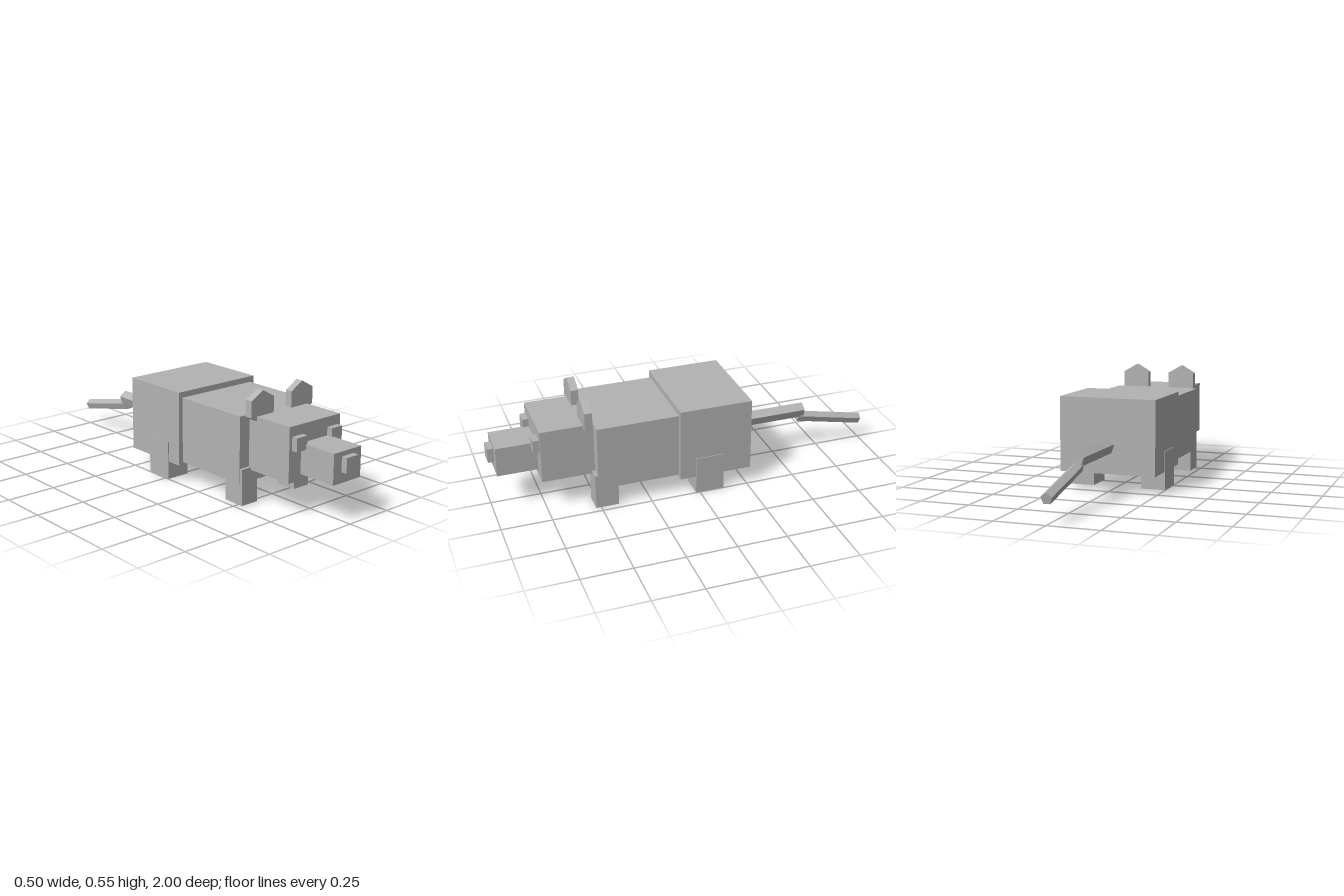
import * as THREE from 'three';

export function createModel() {
  const model = new THREE.Group();
  model.name = 'lowPolyRodent';
  const grey = new THREE.MeshStandardMaterial({ color: 0xb3b3b3 });
  grey.name = 'grey';
  grey.flatShading = true;

  const add = (name, geometry, x, y, z) => {
    const mesh = new THREE.Mesh(geometry, grey);
    mesh.name = name;
    mesh.position.set(x, y, z);
    model.add(mesh);
    return mesh;
  };

  // Box given by its extents on each axis
  const block = (name, [x0, x1], [y0, y1], [z0, z1]) =>
    add(name, new THREE.BoxGeometry(x1 - x0, y1 - y0, z1 - z0),
      (x0 + x1) / 2, (y0 + y1) / 2, (z0 + z1) / 2);

  // Body and head, from back to front
  block('hindBody', [-0.245, 0.245], [0.09, 0.461], [-0.268, 0.1]);
  block('frontBody', [-0.222, 0.222], [0.105, 0.432], [0.1, 0.51]);
  block('head', [-0.163, 0.163], [0.165, 0.432], [0.51, 0.77]);
  block('muzzle', [-0.088, 0.088], [0.195, 0.343], [0.77, 0.97]);
  block('nose', [-0.037, 0.037], [0.247, 0.32], [0.97, 1]);

  // Paired parts
  for (const [side, s] of [['left', 1], ['right', -1]]) {
    const span = (a, b) => (s > 0 ? [a, b] : [-b, -a]);
    block(side + 'Eye', span(0.08, 0.146), [0.318, 0.384], [0.77, 0.8]);
    block(side + 'FrontLeg', span(0.123, 0.219), [0, 0.179], [0.41, 0.525]);
    block(side + 'HindLeg', span(0.125, 0.249), [0, 0.193], [-0.125, 0.02]);

    // Hexagonal ear, half sunk into the head
    const ear = new THREE.CylinderGeometry(0.081, 0.081, 0.038, 6).rotateX(Math.PI / 2);
    add(side + 'Ear', ear, s * 0.127, 0.47, 0.54);
  }

  // Pentagonal tail segment between two [y, z] points
  const tail = (name, radius, [y0, z0], [y1, z1]) => {
    const length = Math.hypot(y1 - y0, z1 - z0);
    const mesh = add(name, new THREE.CylinderGeometry(radius, radius, length, 5),
      0, (y0 + y1) / 2, (z0 + z1) / 2);
    mesh.rotation.x = Math.atan2(z1 - z0, y1 - y0);
  };
  tail('tailBase', 0.0387, [0.226, -0.268], [0.226, -0.658]);
  tail('tailTip', 0.0285, [0.192, -0.63], [0.114, -0.993]);

  return model;
}
